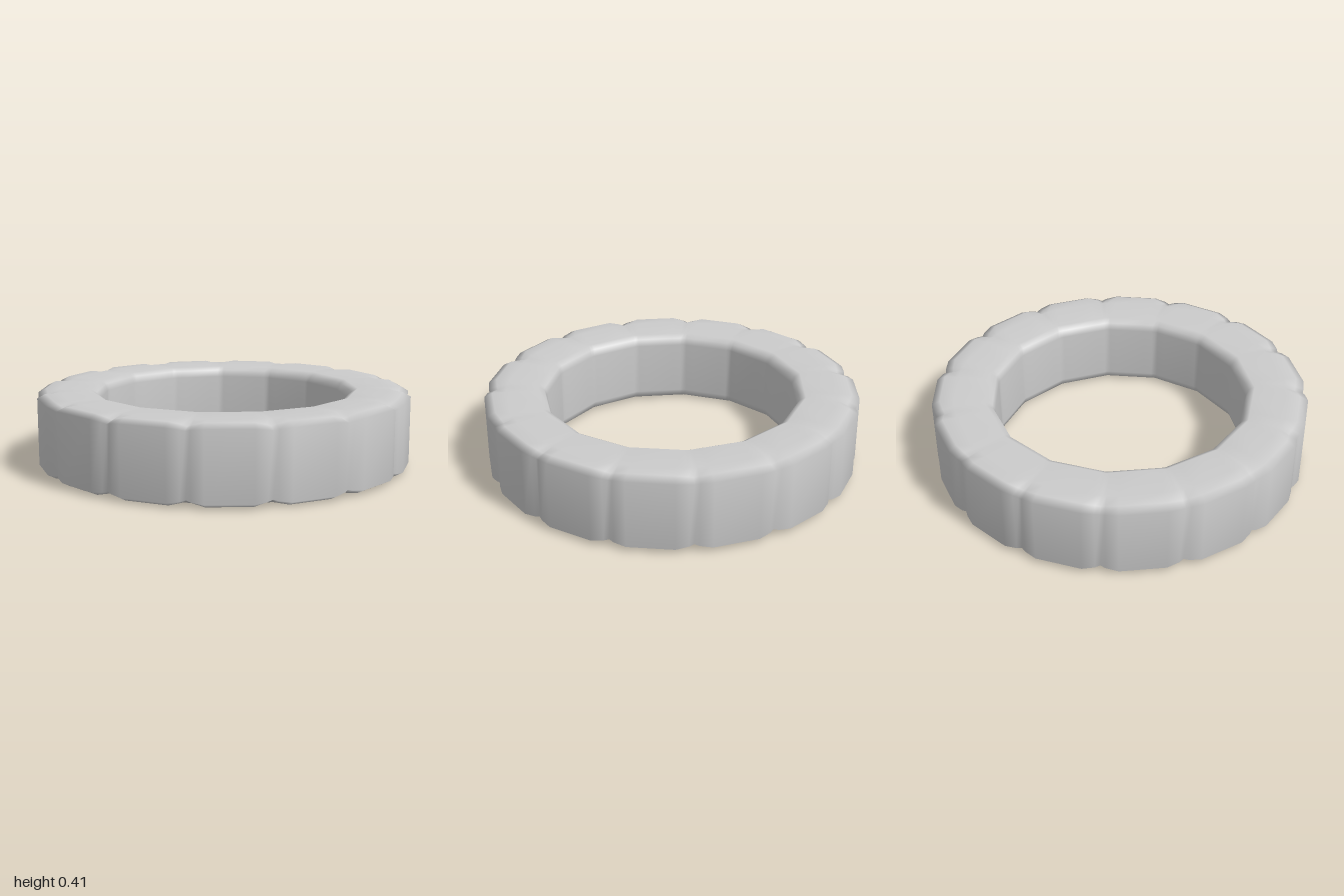
import * as THREE from 'three';

const BLOCKS = 15;
const STEP = (Math.PI * 2) / BLOCKS;
const RAD = Math.PI / 180;
const H = 0.405;

// Radius of a straight-sided 15-gon whose corners sit on the grooves
const chord = (r, a) => r * Math.cos(STEP / 2) / Math.cos(STEP / 2 - Math.abs(a));

// Closed cross-section [radius, y] at an angle from the groove centre;
// cut is the groove depth there, 0 (none) to 1 (full)
function section(a, cut) {
  const outer = 1 - 0.021 * cut;
  const edge = (cut > 0 ? 0.955 : 0.957) - 0.02 * cut;
  const drop = 0.025 * cut;
  const half = [
    [chord(0.675, a), H - 0.055],
    [chord(0.688, a), H - 0.018],
    [chord(0.72, a), H],
    [0.885, H],
    [edge, H - 0.002 - drop],
    [outer, H - 0.024 - drop * 0.6],
  ];
  const mirrored = half.map(([r, y]) => [r, H - y]).reverse();
  return [...half, ...mirrored];
}

function tyreGeometry() {
  // Angles across one groove, with how deep the cut is at each
  const cuts = [[-5.2, 0], [-1.5, 0.55], [0, 1], [1.5, 0.55], [5.2, 0]];
  const positions = [];
  const index = [];
  const n = section(0, 0).length;
  const rings = BLOCKS * cuts.length;

  for (let b = 0; b < BLOCKS; b++) {
    for (const [deg, cut] of cuts) {
      const a = deg * RAD;
      const t = Math.PI + b * STEP + a;
      for (const [r, y] of section(a, cut)) {
        positions.push(r * Math.sin(t), y, r * Math.cos(t));
      }
    }
  }

  // Join neighbouring sections all the way round
  for (let i = 0; i < rings; i++) {
    const p = i * n;
    const q = ((i + 1) % rings) * n;
    for (let j = 0; j < n; j++) {
      const k = (j + 1) % n;
      index.push(p + j, p + k, q + j, p + k, q + k, q + j);
    }
  }

  const geometry = new THREE.BufferGeometry();
  geometry.setAttribute('position', new THREE.Float32BufferAttribute(positions, 3));
  geometry.setIndex(index);
  geometry.computeVertexNormals();
  return geometry;
}

export function createModel() {
  const group = new THREE.Group();
  group.name = 'tyre';
  const material = new THREE.MeshStandardMaterial({ color: 0xcccccc });
  const tread = new THREE.Mesh(tyreGeometry(), material);
  tread.name = 'groovedTyreRing';
  group.add(tread);
  return group;
}
